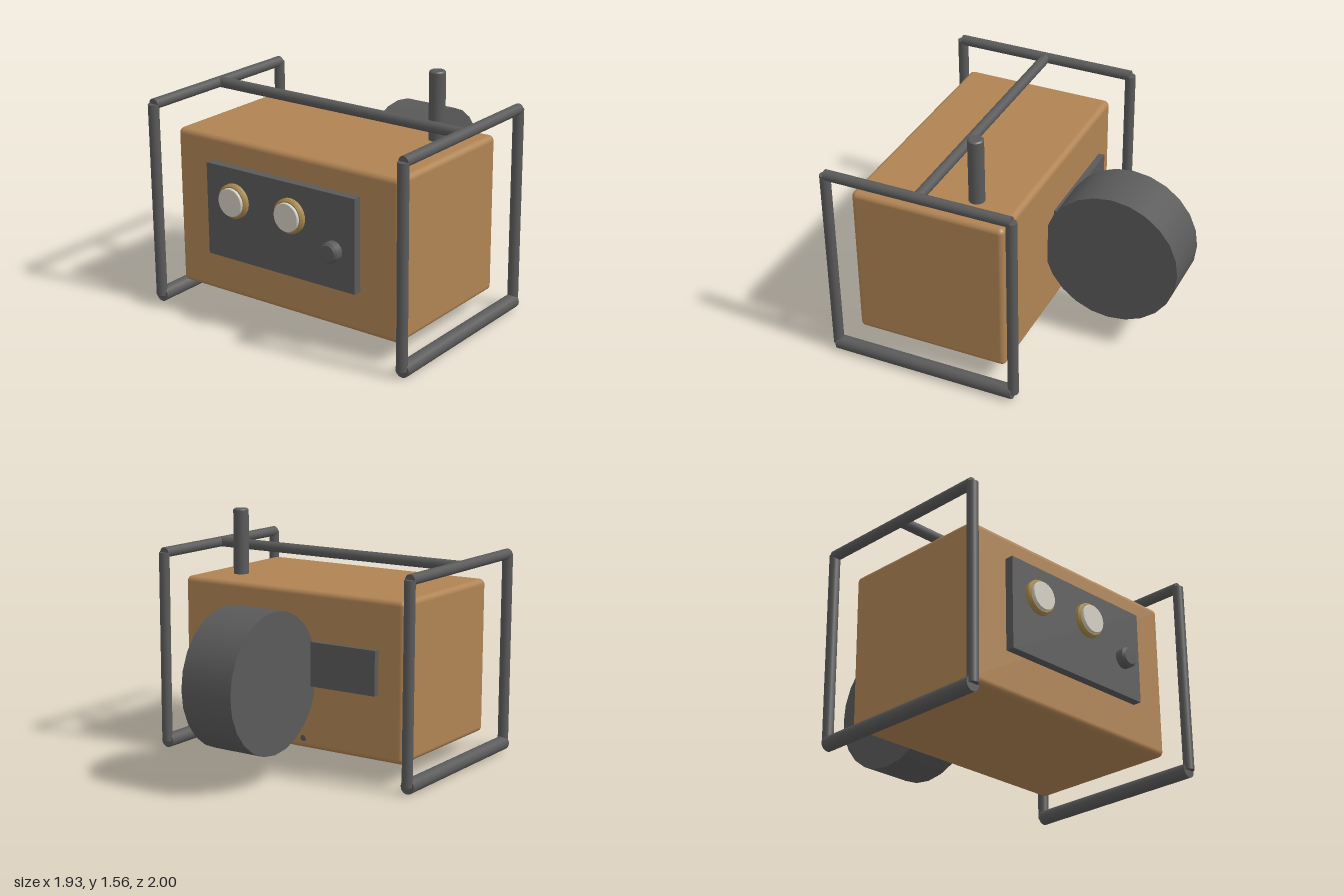
import * as THREE from 'three';
import { RoundedBoxGeometry } from 'three/addons/geometries/RoundedBoxGeometry.js';

const mat = (name, color) => {
  const m = new THREE.MeshStandardMaterial({ color });
  m.name = name;
  return m;
};

export function createModel() {
  const group = new THREE.Group();
  const casing = mat('copper brown', 0xb08454);
  const metal = mat('dark metal', 0x5a5a5a);
  const brass = mat('brass', 0xa8894f);
  const dial = mat('dial cream', 0xd2cec2);

  const add = (name, geometry, material, x, y, z) => {
    const mesh = new THREE.Mesh(geometry, material);
    mesh.name = name;
    mesh.position.set(x, y, z);
    group.add(mesh);
    return mesh;
  };
  const box = (name, material, [x0, x1], [y0, y1], [z0, z1]) =>
    add(name, new THREE.BoxGeometry(x1 - x0, y1 - y0, z1 - z0), material,
      (x0 + x1) / 2, (y0 + y1) / 2, (z0 + z1) / 2);

  // Straight round bar between two points
  const bar = (name, a, b, radius) => {
    const from = new THREE.Vector3(...a), to = new THREE.Vector3(...b);
    const dir = to.clone().sub(from);
    const mid = from.clone().add(to).multiplyScalar(0.5);
    const mesh = add(name, new THREE.CylinderGeometry(radius, radius, dir.length(), 16),
      metal, mid.x, mid.y, mid.z);
    mesh.quaternion.setFromUnitVectors(new THREE.Vector3(0, 1, 0), dir.normalize());
  };

  // Solid disc with a chamfered outer rim, based at the origin
  const disc = (radius, height, chamfer, segments = 32) => {
    const p = (x, y) => new THREE.Vector2(x, y);
    const parts = [p(0, 0), p(radius, 0), p(radius, 0), p(radius, height - chamfer),
      p(radius, height - chamfer), p(radius - chamfer, height), p(radius - chamfer, height), p(0, height)];
    return new THREE.LatheGeometry(parts, segments);
  };
  const frontDisc = (name, material, radius, depth, chamfer, x, y, z) => {
    add(name, disc(radius, depth, chamfer), material, x, y, z).rotation.x = Math.PI / 2;
  };

  // Main casing
  add('casing', new RoundedBoxGeometry(1.65, 1.005, 1.005, 4, 0.035), casing, 0, 0.6375, 0.3575);

  // Carrying frame: a rectangular loop on each side and one cross bar
  const front = 0.965, back = -0.245, top = 1.295, low = 0.047;
  for (const x of [-0.918, 0.918]) {
    for (const z of [front, back]) bar('framePost', [x, low, z], [x, top, z], 0.034);
    bar('frameTopRail', [x, top, back], [x, top, front], 0.034);
    bar('frameFoot', [x, low, back], [x, low, front], 0.046);
  }
  bar('frameCrossBar', [-0.918, top, 0.355], [0.918, top, 0.355], 0.034);

  // Control panel, two gauges and a knob
  box('controlPanel', metal, [-0.55, 0.55], [0.4, 0.985], [0.85, 0.915]);
  for (const x of [-0.335, 0.088]) {
    frontDisc('gaugeBezel', brass, 0.108, 0.036, 0.012, x, 0.785, 0.912);
    frontDisc('gaugeFace', dial, 0.089, 0.023, 0.004, x, 0.785, 0.942);
  }
  frontDisc('knob', metal, 0.063, 0.064, 0.014, 0.4, 0.638, 0.912);

  // Exhaust pipe on the top
  add('exhaustPipe', disc(0.05, 0.45, 0.008, 20), metal, 0.585, 1.115, 0.135);

  // Drum, mounting plate and plug on the back
  add('drum', new THREE.CylinderGeometry(0.44, 0.44, 0.36, 24), metal, 0, 0.638, -0.56)
    .rotation.z = Math.PI / 2;
  box('backPlate', metal, [-0.645, 0.087], [0.55, 0.83], [-0.185, -0.13]);
  add('drainPlug', new THREE.CylinderGeometry(0.02, 0.02, 0.02, 12), metal, -0.1, 0.2, -0.14)
    .rotation.x = Math.PI / 2;

  return group;
}
